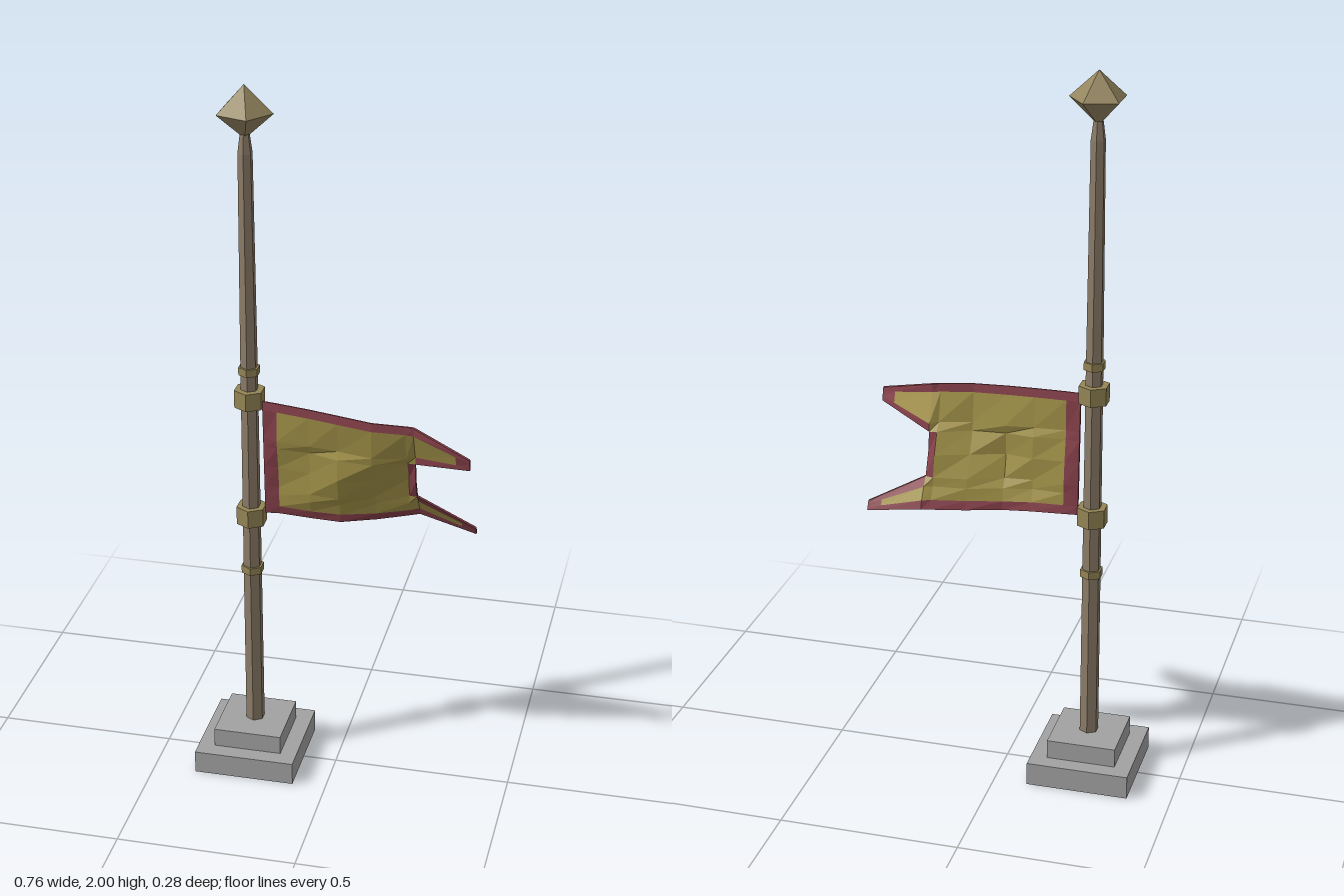
import * as THREE from 'three';

const POLE_X = -0.237;
const mat = (color) => new THREE.MeshStandardMaterial({ color, flatShading: true });

// Flag columns: x, top y, bottom y, top z, bottom z
const COLS = [
  [-0.2, 1.127, 0.783, 0.005, -0.012],
  [-0.16, 1.126, 0.783, 0.01, -0.016],
  [-0.07, 1.122, 0.779, 0.02, -0.015],
  [0.01, 1.117, 0.775, 0.03, -0.018],
  [0.105, 1.11, 0.777, 0.04, -0.052],
  [0.195, 1.105, 0.783, 0.03, -0.086],
  [0.217, 1.102, 0.785, 0.028, -0.094],
];
// Fraction of the height for each row; the notch lies between rows 3 and 5
const ROWS = [0, 0.07, 0.17, 0.245, 0.43, 0.61, 0.68, 0.93, 1];
const NOTCH = COLS.length - 1;
const LAST_COL = NOTCH + 2;
const LAST_ROW = ROWS.length - 1;

// Centre of the cloth at a grid point
function clothPoint(i, j) {
  if (i <= NOTCH) {
    const [x, yt, yb, zt, zb] = COLS[i];
    const v = ROWS[j];
    // The top hem hangs upright
    const lean = Math.min(v / 0.93, 1);
    const wave = 0.01 + 0.013 * Math.sin(i * 1.9 - j * 1.1);
    const fold = Math.sin(Math.PI * lean) * wave * Math.min(1, i / 2);
    return new THREE.Vector3(x, THREE.MathUtils.lerp(yb, yt, v), THREE.MathUtils.lerp(zb, zt, lean) + fold);
  }
  // Swallow tails narrow from the notch to the tips
  const upper = j >= 5;
  const t = upper ? (j - 5) / 3 : j / 3;
  const tip = upper
    ? new THREE.Vector3(0.378, 1.02 + 0.034 * t, 0.077 + 0.01 * t)
    : new THREE.Vector3(0.378, 0.753 + 0.023 * t, -0.072 + 0.012 * t);
  return i === LAST_COL ? tip : clothPoint(NOTCH, j).lerp(tip, 0.75);
}

const hasCell = (i, j) => i >= 0 && j >= 0 && i < LAST_COL && j < LAST_ROW
  && !(i >= NOTCH && (j === 3 || j === 4));

function isBorder(i, j) {
  if (j === 0 || j === LAST_ROW - 1 || i === 0 || i === LAST_COL - 1) return true;
  if (i === NOTCH - 1) return j === 3 || j === 4;
  return i >= NOTCH && (j === 2 || j === 5);
}

// Two-sided cloth of the border or the panel, with a rim on open edges
function clothGeometry(border) {
  const pos = [];
  const corner = (i, j, side) => {
    const p = clothPoint(i, j);
    const thin = j === LAST_ROW && i < NOTCH;
    p.z += side * (thin ? 0.002 : 0.005);
    return p;
  };
  const quad = (a, b, c, d) => [a, b, c, a, c, d].forEach((p) => pos.push(p.x, p.y, p.z));
  for (let i = 0; i < LAST_COL; i++) {
    for (let j = 0; j < LAST_ROW; j++) {
      if (!hasCell(i, j) || isBorder(i, j) !== border) continue;
      const ring = [[i, j], [i + 1, j], [i + 1, j + 1], [i, j + 1]];
      const f = ring.map(([a, b]) => corner(a, b, 1));
      const k = ring.map(([a, b]) => corner(a, b, -1));
      quad(...f);
      quad(k[3], k[2], k[1], k[0]);
      const next = [[i, j - 1], [i + 1, j], [i, j + 1], [i - 1, j]];
      next.forEach(([a, b], e) => {
        const n = (e + 1) % 4;
        if (!hasCell(a, b)) quad(f[e], k[e], k[n], f[n]);
      });
    }
  }
  const g = new THREE.BufferGeometry();
  g.setAttribute('position', new THREE.Float32BufferAttribute(pos, 3));
  g.computeVertexNormals();
  return g;
}

export function createModel() {
  const model = new THREE.Group();
  const stone = mat(0xa2a2a2);
  const wood = mat(0x8c7c68);
  const brass = mat(0x958656);
  const add = (name, geometry, material, x = 0, y = 0) => {
    const mesh = new THREE.Mesh(geometry, material);
    mesh.name = name;
    mesh.position.set(x, y, 0);
    model.add(mesh);
  };
  const lathe = (points, sides) =>
    new THREE.LatheGeometry(points.map(([r, y]) => new THREE.Vector2(r, y)), sides);

  // Stepped base
  add('basePlinth', new THREE.BoxGeometry(0.285, 0.066, 0.285), stone, POLE_X, 0.033);
  add('baseStep', new THREE.BoxGeometry(0.193, 0.054, 0.193), stone, POLE_X, 0.093);

  // Tapered six-sided pole
  const profile = [[0, 0.1], [0.027, 0.1], [0.026, 0.61], [0.024, 1.21], [0.02, 1.82], [0.013, 1.872], [0, 1.872]];
  add('pole', lathe(profile, 6), wood, POLE_X);

  // Collars: name, height, radius, thickness
  const collars = [
    ['lowerRing', 0.61, 0.032, 0.022],
    ['lowerFlagCollar', 0.78, 0.043, 0.052],
    ['upperFlagCollar', 1.133, 0.043, 0.05],
    ['upperRing', 1.213, 0.03, 0.022],
  ];
  for (const [name, y, r, h] of collars) {
    add(name, new THREE.CylinderGeometry(r, r, h, 6), brass, POLE_X, y);
  }

  // Five-sided finial with one corner towards +x
  const finial = lathe([[0, 1.857], [0.077, 1.928], [0, 2]], 5).rotateY(Math.PI / 2);
  add('finial', finial, mat(0x94855f), POLE_X);

  // Swallow-tailed flag
  add('flagBorder', clothGeometry(true), mat(0x86404a));
  add('flagPanel', clothGeometry(false), mat(0xa39349));
  return model;
}
